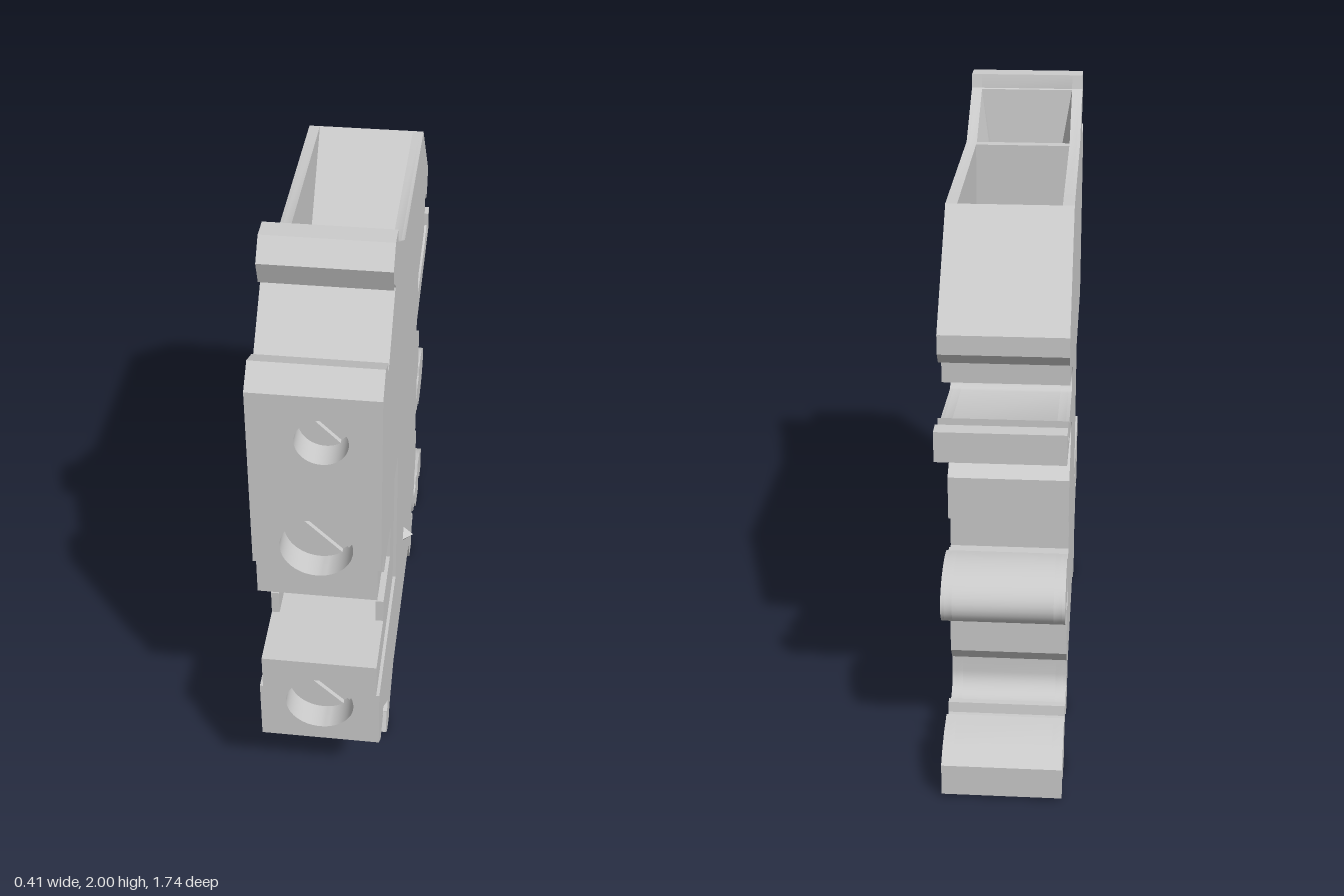
import * as THREE from 'three';
import { toCreasedNormals } from 'three/addons/utils/BufferGeometryUtils.js';

const material = new THREE.MeshStandardMaterial({ color: 0xcccccc });
const thinMaterial = new THREE.MeshStandardMaterial({ color: 0xcccccc, side: THREE.DoubleSide });

// Points along an elliptical arc in the (z, y) plane, angles in degrees
function arc(z, y, rz, ry, from, to, n = 10) {
  return Array.from({ length: n + 1 }, (_, i) => {
    const a = THREE.MathUtils.degToRad(from + ((to - from) * i) / n);
    return [z + rz * Math.cos(a), y + ry * Math.sin(a)];
  });
}

// Back edge from top to bottom: lip, lever, round grip
const backEdge = [
  [-0.735, 1.53], [-0.735, 1.47], [-0.71, 1.435], [-0.68, 1.435], [-0.668, 1.465], [-0.63, 1.465],
  [-0.625, 1.335],
  ...arc(-0.412, 1.257, 0.038, 0.043, 90, -90),
  [-0.68, 1.24], [-0.755, 1.28], [-0.755, 1.23], [-0.82, 1.23], [-0.82, 1.29], [-0.87, 1.29], [-0.87, 1.195],
  ...arc(-0.41, 1.075, 0.035, 0.035, 90, -60),
  [-0.525, 0.965], [-0.525, 0.82], [-0.468, 0.79], [-0.468, 0.69], [-0.5, 0.69], [-0.515, 0.71], [-0.59, 0.71],
  ...arc(-0.65, 0.657, 0.15, 0.096, 70, 290, 20),
  [-0.59, 0.6], [-0.515, 0.6], [-0.5, 0.62], [-0.468, 0.62], [-0.468, 0.525], [-0.525, 0.495], [-0.525, 0.325],
];

// Springy rail clip and rear foot
const clipEdge = [
  [-0.488, 0.275],
  ...arc(-0.558, 0.22, 0.07, 0.07, 0, -120),
  [-0.605, 0.19], [-0.625, 0.19], [-0.63, 0.155], [-0.675, 0.155], [-0.69, 0.19], [-0.765, 0.18], [-0.82, 0.16],
  [-0.87, 0.125], [-0.87, 0.015], [-0.82, 0.015], [-0.82, 0.06], [-0.755, 0.06], [-0.755, 0], [-0.645, 0],
  [-0.625, 0.03], [-0.63, 0.1],
  ...arc(-0.54, 0.215, 0.113, 0.115, -90, 0),
  ...arc(-0.41, 0.27, 0.02, 0.02, 180, 0, 8),
  [-0.39, 0.15], [-0.43, 0.15], [-0.468, 0.11], [-0.41, 0.06], [-0.41, 0], [-0.34, 0], [-0.27, 0.127],
];

// Front hook, the same at top and bottom
const hook = [
  [0.48, 0.045], [0.49, 0], [0.56, 0], [0.615, 0.06], [0.59, 0.135], [0.575, 0.12], [0.55, 0.15],
  [0.72, 0.312], [0.74, 0.29], [0.73, 0.28], [0.805, 0.248], [0.87, 0.308],
];
const upperHook = hook.map(([z, y]) => [z, 2 - y]).reverse();

function outline(front, topPocket = [], bottomPocket = []) {
  return [
    ...upperHook, ...topPocket.slice(0, 4), [0.255, 1.825], ...topPocket.slice(4), [-0.435, 1.825],
    ...backEdge, ...clipEdge, ...bottomPocket, [0.345, 0.127], ...hook, ...front,
  ];
}

// Slice of the housing between two x positions
function slice(name, points, x0, x1) {
  const shape = new THREE.Shape(points.map(([z, y]) => new THREE.Vector2(z, y)));
  const geo = new THREE.ExtrudeGeometry(shape, { depth: x1 - x0, bevelEnabled: false });
  geo.rotateY(-Math.PI / 2).translate(x1, 0, 0);
  const mesh = new THREE.Mesh(toCreasedNormals(geo, 0.55), material);
  mesh.name = name;
  return mesh;
}

// Pocket lining from rings of [x0, x1, zBack, zFront, yBack, yFront], closed by a floor
function funnel(name, rings) {
  const corners = rings.map(([x0, x1, z0, z1, yb, yf]) => [
    [x0, yb, z0], [x1, yb, z0], [x1, yf, z1], [x0, yf, z1],
  ]);
  const pos = [];
  const quad = (a, b, c, d) => pos.push(...a, ...b, ...c, ...a, ...c, ...d);
  for (let r = 0; r + 1 < corners.length; r++) {
    for (let i = 0; i < 4; i++) {
      const j = (i + 1) % 4;
      quad(corners[r][j], corners[r][i], corners[r + 1][i], corners[r + 1][j]);
    }
  }
  const f = corners[corners.length - 1];
  quad(f[3], f[2], f[1], f[0]);
  const geo = new THREE.BufferGeometry();
  geo.setAttribute('position', new THREE.Float32BufferAttribute(pos, 3));
  geo.computeVertexNormals();
  const mesh = new THREE.Mesh(geo, thinMaterial);
  mesh.name = name;
  return mesh;
}

// Front plate with round screw openings, each hole is [x, y, radius]
function frontPlate(name, y0, y1, holes) {
  const s = new THREE.Shape();
  s.moveTo(-0.175, y0).lineTo(0.135, y0).lineTo(0.135, y1).lineTo(-0.175, y1).closePath();
  for (const [x, y, r] of holes) s.holes.push(new THREE.Path().absarc(x, y, r, 0, Math.PI * 2, true));
  const geo = new THREE.ExtrudeGeometry(s, { depth: 0.1, bevelEnabled: false, curveSegments: 24 });
  const mesh = new THREE.Mesh(toCreasedNormals(geo.translate(0, 0, 0.77), 0.55), material);
  mesh.name = name;
  return mesh;
}

// Screw head: two half discs separated by a diagonal slot
function screw([x, y, r]) {
  const group = new THREE.Group();
  group.name = 'screw';
  const a = Math.asin(0.014 / r);
  for (const turn of [0, Math.PI]) {
    const s = new THREE.Shape().absarc(0, 0, r, a, Math.PI - a, false);
    const geo = new THREE.ExtrudeGeometry(s, { depth: 0.02, bevelEnabled: false, curveSegments: 24 });
    const half = new THREE.Mesh(geo, material);
    half.name = 'screwHalf';
    half.rotation.z = turn - Math.PI / 4;
    group.add(half);
  }
  group.position.set(x, y, 0.765);
  return group;
}

export function createModel() {
  const model = new THREE.Group();
  model.name = 'railTerminal';

  // Stepped notch in the side walls, recessed panel on the outer skins, wide notch in the core
  const sideFront = [
    [0.87, 0.655], [0.665, 0.655], [0.665, 0.74], [0.455, 0.74],
    [0.455, 0.87], [0.665, 0.87], [0.665, 0.95], [0.87, 0.95],
  ];
  const skinFront = [[0.87, 0.53], [0.33, 0.53], [0.33, 1.07], [0.87, 1.07]];
  const coreFront = [
    [0.77, 0.308], [0.77, 0.655], [0.33, 0.655], [0.33, 0.95], [0.77, 0.95], [0.77, 1.692],
  ];
  const topPocket = [
    [0.475, 1.952], [0.475, 1.49], [0.25, 1.49], [0.25, 1.825],
    [0.22, 1.825], [0.22, 1.41], [-0.075, 1.41], [-0.13, 1.49],
  ];
  const bottomPocket = [[-0.25, 0.127], [-0.06, 0.4], [-0.02, 0.46], [0.32, 0.46], [0.32, 0.127]];

  const side = outline(sideFront);
  const skin = outline(skinFront);
  model.add(
    slice('rightSkin', skin, -0.21, -0.2),
    slice('rightWall', side, -0.2, -0.175),
    slice('core', outline(coreFront, topPocket, bottomPocket), -0.175, 0.135),
    slice('leftWall', side, 0.135, 0.16),
    slice('leftSkin', skin, 0.16, 0.17),
  );

  // Wire entry funnels
  model.add(
    funnel('upperWireFunnel', [
      [-0.175, 0.135, -0.435, 0.22, 1.825, 1.825],
      [-0.175, 0.135, -0.13, 0.22, 1.495, 1.495],
      [-0.125, 0.09, -0.075, 0.145, 1.42, 1.42],
    ]),
    funnel('frontFunnel', [
      [-0.175, 0.135, 0.25, 0.475, 1.825, 1.952],
      [-0.1, 0.06, 0.285, 0.435, 1.5, 1.5],
    ]),
    funnel('lowerWireFunnel', [
      [-0.175, 0.135, -0.25, 0.32, 0.127, 0.127],
      [-0.175, 0.135, -0.06, 0.32, 0.395, 0.395],
      [-0.125, 0.09, -0.015, 0.245, 0.45, 0.45],
    ]),
  );

  // Front plates and screws
  const upperHoles = [[0, 1.535, 0.077], [-0.02, 1.14, 0.108]];
  const lowerHoles = [[-0.02, 0.47, 0.108]];
  model.add(
    frontPlate('upperFrontPlate', 0.95, 1.692, upperHoles),
    frontPlate('lowerFrontPlate', 0.308, 0.655, lowerHoles),
    ...[...upperHoles, ...lowerHoles].map(screw),
  );

  // Small pointed locating stud on the left side
  const studGeo = new THREE.ConeGeometry(0.032, 0.035, 4).toNonIndexed();
  studGeo.computeVertexNormals();
  const stud = new THREE.Mesh(studGeo, material);
  stud.name = 'locatingStud';
  stud.rotation.z = -Math.PI / 2;
  stud.position.set(0.1875, 0.44, 0.01);
  model.add(stud);

  return model;
}
